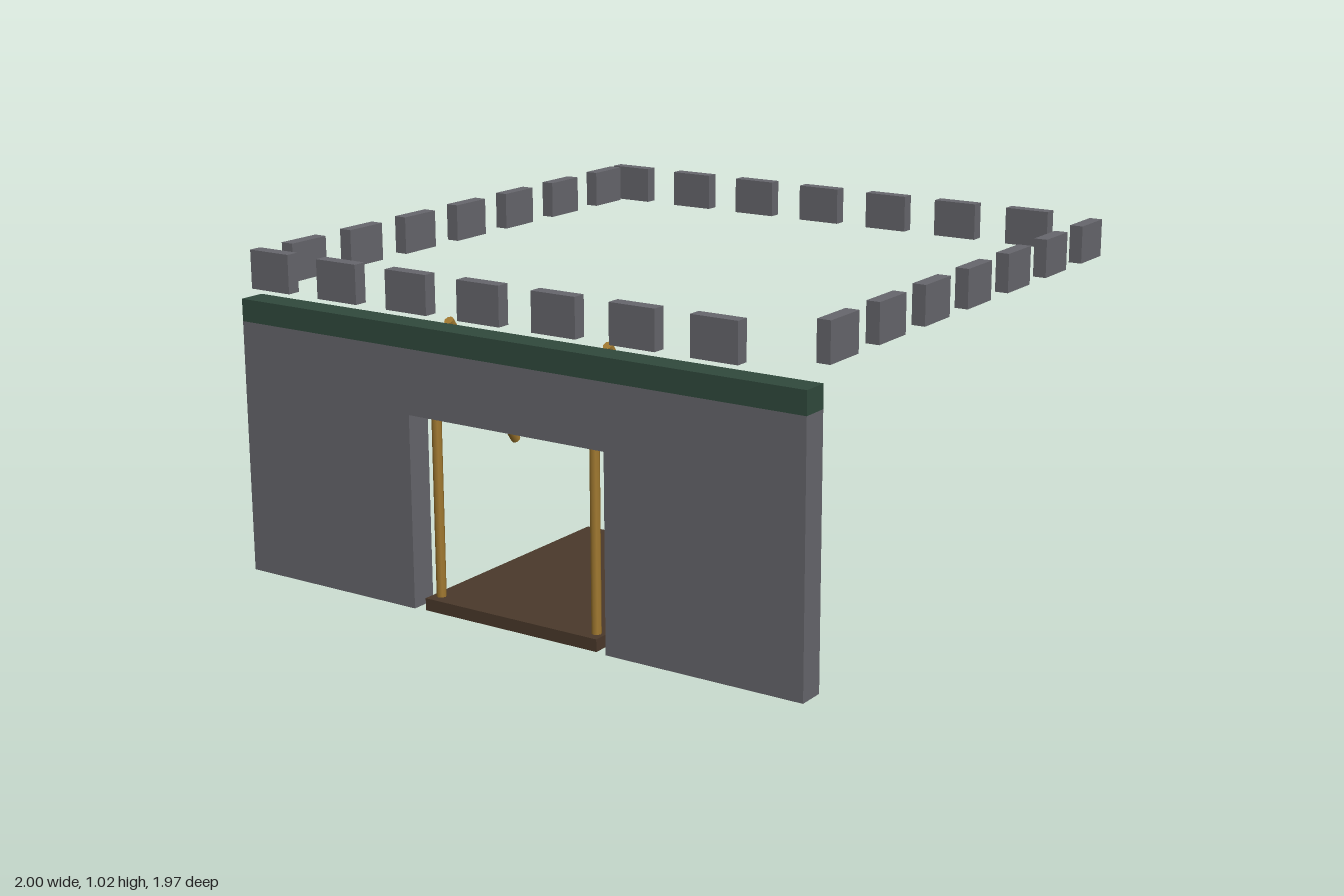
import * as THREE from 'three';

export function createModel() {
  const model = new THREE.Group();
  model.name = 'gatehouse';
  const mat = (name, color) => {
    const m = new THREE.MeshStandardMaterial({ color });
    m.name = name;
    return m;
  };
  const stone = mat('stone', 0x67676d);
  const paint = mat('green trim', 0x314a3d);
  const wood = mat('dark wood', 0x4b392b);
  const brass = mat('brass', 0xa27a30);

  const add = (name, geometry, material, x, y, z) => {
    const mesh = new THREE.Mesh(geometry, material);
    mesh.name = name;
    mesh.position.set(x, y, z);
    model.add(mesh);
    return mesh;
  };

  const wallZ = 0.944, wallDepth = 0.085;

  // Front wall with a gate opening reaching the ground
  const outline = new THREE.Shape([
    [-1, 0], [-0.35, 0], [-0.35, 0.6], [0.35, 0.6],
    [0.35, 0], [1, 0], [1, 0.8], [-1, 0.8],
  ].map(([x, y]) => new THREE.Vector2(x, y)));
  add('gateWall', new THREE.ExtrudeGeometry(outline, { depth: wallDepth, bevelEnabled: false }),
    stone, 0, 0, wallZ - wallDepth / 2);

  // Trim band along the wall top
  add('wallTrim', new THREE.BoxGeometry(2, 0.07, wallDepth), paint, 0, 0.835, wallZ);

  // Lowered bridge deck behind the gate
  add('bridgeDeck', new THREE.BoxGeometry(0.626, 0.038, 0.825), wood, 0, 0.019, 0.5675);

  // Gate posts and slanted lifting rods
  const top = new THREE.Vector3(0, 0.871, 0.871);
  const bottom = new THREE.Vector3(0, 0.437, 0.564);
  const along = top.clone().sub(bottom);
  const centre = top.clone().add(bottom).multiplyScalar(0.5);
  for (const side of [-1, 1]) {
    add('gatePost', new THREE.CylinderGeometry(0.015, 0.015, 0.57, 8), brass, side * 0.285, 0.32, wallZ - 0.005);
    const rod = add('liftingRod', new THREE.CylinderGeometry(0.015, 0.015, along.length(), 8), brass,
      side * 0.285, centre.y, centre.z);
    rod.quaternion.setFromUnitVectors(new THREE.Vector3(0, 1, 0), along.clone().normalize());
  }

  // Ring of battlements: seven blocks on each side
  const acrossX = new THREE.BoxGeometry(0.152, 0.121, 0.043);
  const acrossZ = new THREE.BoxGeometry(0.043, 0.121, 0.152);
  for (let i = 0; i < 7; i++) {
    const step = i * 0.2665;
    add('frontMerlon', acrossX, stone, -0.9 + step, 0.961, wallZ);
    add('backMerlon', acrossX, stone, -0.9 + step, 0.961, -0.966);
    for (const side of [-1, 1]) add('sideMerlon', acrossZ, stone, side * 0.955, 0.961, -0.848 + step);
  }
  return model;
}
